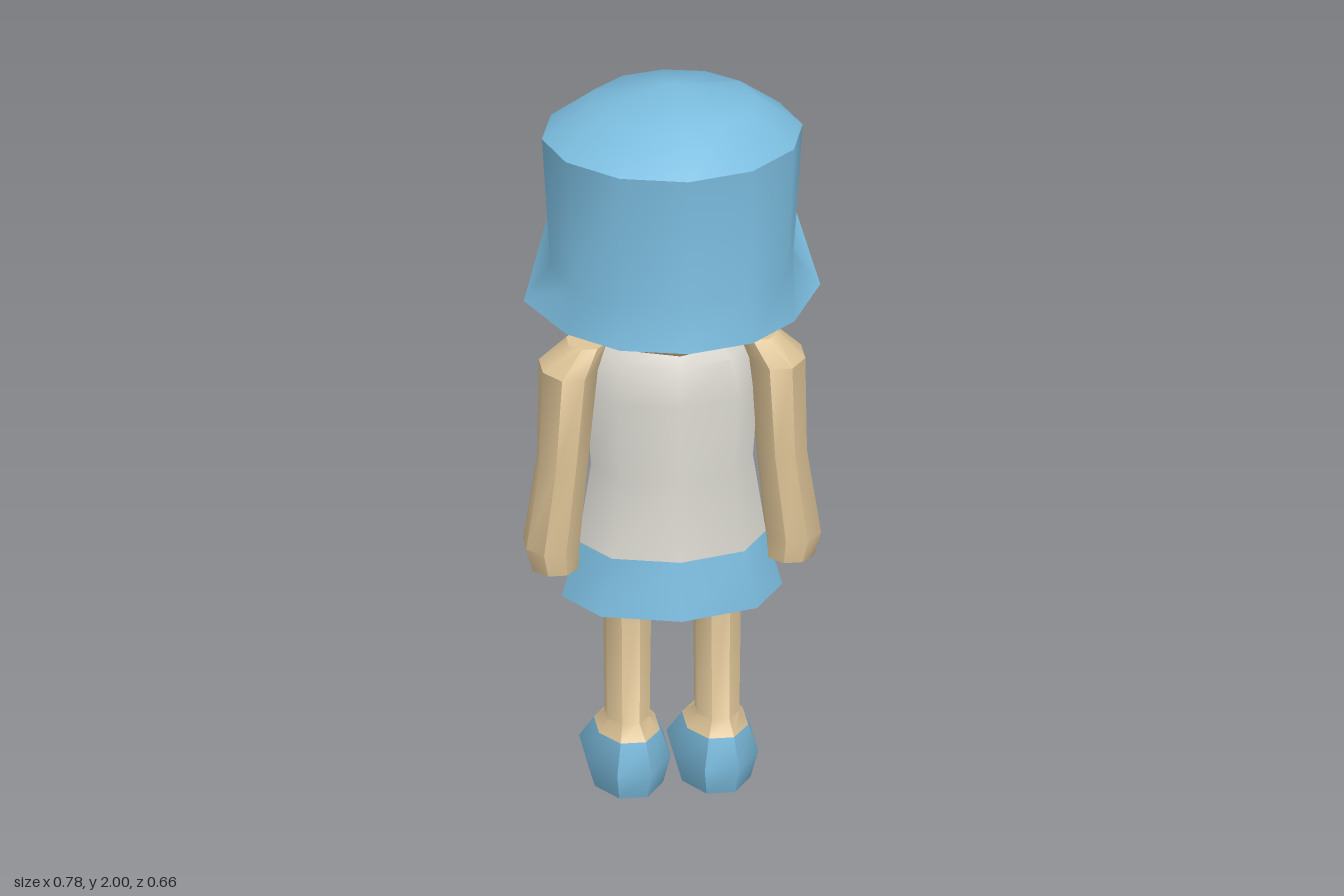
import * as THREE from 'three';
import { toCreasedNormals } from 'three/addons/utils/BufferGeometryUtils.js';

const paint = (name, color, side = THREE.FrontSide) => {
  const m = new THREE.MeshStandardMaterial({ color, side });
  m.name = name;
  return m;
};

// Skin rows of points from top to bottom; each row runs from +z towards +x.
function loft(rows, { closed = true, top = false, bottom = false, crease = 0.75 } = {}) {
  const n = rows[0].length, pos = rows.flat(2), index = [];
  const last = closed ? n : n - 1;
  for (let r = 0; r < rows.length - 1; r++) {
    for (let k = 0; k < last; k++) {
      const a = r * n + k, b = r * n + (k + 1) % n, c = a + n, d = b + n;
      index.push(c, d, b, c, b, a);
    }
  }
  const cap = (r, up) => {
    const mid = [0, 1, 2].map(i => rows[r].reduce((s, p) => s + p[i], 0) / n);
    const m = pos.length / 3;
    pos.push(...mid);
    for (let k = 0; k < n; k++) {
      const a = r * n + k, b = r * n + (k + 1) % n;
      index.push(m, ...(up ? [a, b] : [b, a]));
    }
  };
  if (top) cap(0, true);
  if (bottom) cap(rows.length - 1, false);
  const g = new THREE.BufferGeometry();
  g.setAttribute('position', new THREE.Float32BufferAttribute(pos, 3));
  g.setIndex(index);
  return toCreasedNormals(g, crease);
}

// Eight-sided ring; flat = true turns its sides square to the axes.
function ring(x, y, z, rx, rz, flat = false) {
  const grow = flat ? 1 / Math.cos(Math.PI / 8) : 1;
  return Array.from({ length: 8 }, (_, i) => {
    const a = (i + (flat ? 0.5 : 0)) * Math.PI / 4;
    return [x + Math.sin(a) * rx * grow, y, z + Math.cos(a) * rz * grow];
  });
}

// Complete a half row (back to front) with its mirror image.
const mirrorRow = half => [...half, ...half.slice(1, -1).reverse().map(([x, y, z]) => [-x, y, z])];

// Face cross-sections: y, then [x, z] at nose line, cheek and temple.
const FACE = [
  [1.82, [0, -0.28], [0.165, -0.245], [0.28, -0.14]],
  [1.57, [0, -0.33], [0.2, -0.245], [0.29, -0.14]],
  [1.39, [0, -0.235], [0.16, -0.19], [0.255, -0.14]],
  [1.29, [0, -0.18], [0.09, -0.15], [0.14, -0.1]],
];

// Point on the face: u runs from -2 to 2 across it, lift pushes outwards.
function facePoint(u, y, lift = 0) {
  const v = Math.abs(u), c = v < 1 ? 1 : 2, t = v - c + 1;
  const r = y >= 1.57 ? 0 : y >= 1.39 ? 1 : 2;
  const s = (FACE[r][0] - y) / (FACE[r][0] - FACE[r + 1][0]);
  const mix = THREE.MathUtils.lerp;
  const [x, z] = [0, 1].map(i => mix(
    mix(FACE[r][c][i], FACE[r][c + 1][i], t),
    mix(FACE[r + 1][c][i], FACE[r + 1][c + 1][i], t), s));
  const k = 1 + lift / Math.hypot(x, z);
  return [x * k * Math.sign(u || 1), y, z * k];
}

// Thin painted patch that follows the face.
function patch(side, u, y, ru, ry, lift, wobble = 0, arch = 0) {
  const rows = [0, 0.33, 0.67, 1].map(r => Array.from({ length: 24 }, (_, i) => {
    const a = -side * i * Math.PI / 12;
    const q = r * (1 + wobble * Math.cos(3 * (a - Math.PI / 2) + Math.PI));
    const du = q * Math.cos(a);
    return facePoint(side * (u + side * du * ru), y + q * Math.sin(a) * ry - arch * du * du, lift);
  }));
  return loft(rows, { crease: 1.2 });
}

export function createModel() {
  const model = new THREE.Group();
  model.name = 'figure';
  const blue = paint('blue', 0x7bbcde, THREE.DoubleSide);
  const white = paint('offWhite', 0xdcdad2);
  const skin = paint('skin', 0xdfc598);
  const tan = paint('faceOrange', 0xd2985a);
  const navy = paint('navy', 0x2f4a73);
  const add = (name, geometry, material) => {
    const mesh = new THREE.Mesh(geometry, material);
    mesh.name = name;
    model.add(mesh);
  };

  // Hair columns, back to front: brow x z, middle x y z, hem x y z
  const columns = [
    [0, 0.32, 0, 1.5, 0.3, 0, 1.375, 0.33],
    [0.175, 0.275, 0.165, 1.5, 0.26, 0.175, 1.375, 0.285],
    [0.3, 0.155, 0.285, 1.5, 0.15, 0.3, 1.375, 0.165],
    [0.343, 0.005, 0.32, 1.5, 0, 0.39, 1.4, 0],
    [0.3, -0.14, 0.3, 1.7, -0.145, 0.312, 1.56, -0.14],
    [0.29, -0.15, 0.29, 1.78, -0.155, 0.287, 1.69, -0.155],
    [0.17, -0.255, 0.17, 1.83, -0.257, 0.167, 1.81, -0.26],
    [0, -0.293, 0, 1.83, -0.296, 0, 1.79, -0.298],
  ];
  const crown = k => columns.map(([x, z]) => [x * k, 1.955, z * k]);
  add('hair', loft([
    columns.map(() => [0, 2, 0]),
    crown(0.64),
    columns.map(([x, z]) => [x, 1.865, z]),
    columns.map(c => c.slice(2, 5)),
    columns.map(c => c.slice(5, 8)),
  ].map(mirrorRow), { crease: 0.9 }), blue);

  // Face and the sides and back of the head
  const steps = Array.from({ length: 17 }, (_, i) => 2 - i / 4);
  add('face', loft([1.82, 1.74, 1.65, 1.57, 1.51, 1.45, 1.39, 1.34, 1.29]
    .map(y => steps.map(u => facePoint(u, y))), { closed: false, crease: 1.1 }), tan);

  // Back-of-head rows: y, side [x, z], rear corner [x, z], rear z
  const skull = [
    [[0.3, 0], [0.18, 0.17], 0.24],
    [[0.3, 0], [0.2, 0.18], 0.25],
    [[0.29, 0.01], [0.2, 0.18], 0.25],
    [[0.14, 0.03], [0.1, 0.12], 0.16],
  ].map(([d, e, f], i) => {
    const y = FACE[i][0];
    const half = [FACE[i][3], d, e].map(([x, z]) => [x, y, z]);
    return [...half.map(([x, , z]) => [-x, y, z]), [0, y, f], ...half.reverse()];
  });
  add('headSides', loft(skull.slice(0, 3), { closed: false }), blue);
  add('jaw', loft(skull.slice(2), { closed: false }), skin);
  const chin = [...skull[3], ...[1, 0, -1].map(u => facePoint(u, 1.29))];
  add('chin', loft([chin.map(([x, y, z]) => [x * 0.98, y + 0.01, z * 0.98]), chin], { bottom: true }), skin);

  // Torso and skirt
  add('shirt', loft([
    ring(0, 1.295, 0, 0.14, 0.13), ring(0, 1.25, 0, 0.195, 0.155),
    ring(0, 1.14, 0, 0.228, 0.168), ring(0, 0.92, 0, 0.213, 0.15), ring(0, 0.7, 0, 0.247, 0.168),
  ], { top: true, crease: 0.9 }), white);
  add('skirt', loft([ring(0, 0.7, 0, 0.247, 0.168), ring(0, 0.545, 0, 0.29, 0.2)],
    { bottom: true, crease: 0.9 }), blue);

  for (const s of [1, -1]) {
    const name = s > 0 ? 'left' : 'right';

    // Painted eye and brow
    add(name + 'EyeWhite', patch(s, 0.92, 1.53, 0.66, 0.085, 0.005), white);
    add(name + 'Iris', patch(s, 0.84, 1.52, 0.31, 0.04, 0.009, 0.2), navy);
    add(name + 'Brow', patch(s, 1.02, 1.665, 0.4, 0.016, 0.005, 0, 0.018), blue);

    // Arm
    add(name + 'Arm', loft([
      ring(s * 0.225, 1.278, 0, 0.05, 0.06, true), ring(s * 0.273, 1.21, 0, 0.072, 0.103, true),
      ring(s * 0.288, 0.94, 0, 0.063, 0.072, true), ring(s * 0.318, 0.7, 0, 0.07, 0.078, true),
      ring(s * 0.31, 0.635, 0, 0.06, 0.068, true),
    ], { top: true, bottom: true }), skin);

    // Leg, ankle and shoe
    add(name + 'Leg', loft([
      ring(s * 0.118, 0.6, 0, 0.06, 0.075, true), ring(s * 0.118, 0.2, 0, 0.055, 0.075, true),
      ring(s * 0.116, 0.16, -0.02, 0.08, 0.125, true),
    ]), skin);
    add(name + 'Shoe', loft([
      ring(s * 0.116, 0.16, -0.02, 0.08, 0.125, true),
      ring(s * 0.115, 0.075, -0.065, 0.11, 0.19, true),
      ring(s * 0.115, 0, -0.05, 0.09, 0.15, true),
    ], { bottom: true, crease: 0.9 }), blue);
  }
  return model;
}
